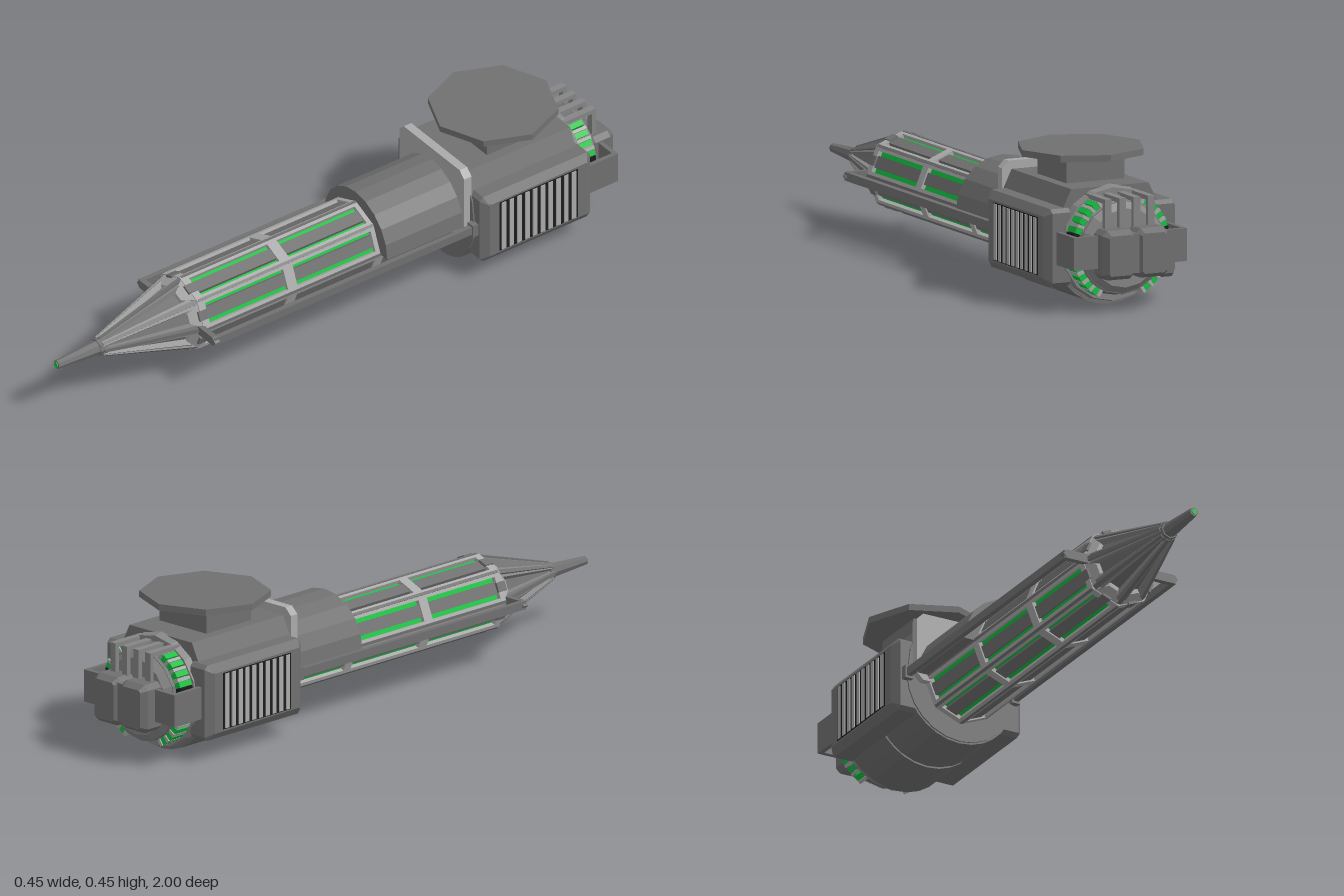
import * as THREE from 'three';

const mat = (color) => new THREE.MeshStandardMaterial({ color, flatShading: true });
const DARK = mat(0x707070), MID = mat(0x858585), LIGHT = mat(0xaaaaaa), BLACK = mat(0x1c1c1c), GREEN = mat(0x12c040);
const AXIS = 0.187; // height of the barrel axis

function add(parent, name, geo, material, x = 0, y = 0, z = 0) {
  const m = new THREE.Mesh(geo, material);
  m.name = name;
  m.position.set(x, y, z);
  parent.add(m);
  return m;
}
function group(parent, name) {
  const g = new THREE.Group();
  g.name = name;
  parent.add(g);
  return g;
}
const box = (w, h, d) => new THREE.BoxGeometry(w, h, d);
const poly = (pts) => new THREE.Shape(pts.map(([x, y]) => new THREE.Vector2(x, y)));
const arc = (r, a0, a1, n) => Array.from({ length: n + 1 }, (_, i) => {
  const a = THREE.MathUtils.degToRad(a0 + ((a1 - a0) * i) / n);
  return [r * Math.cos(a), r * Math.sin(a)];
});
// Rectangle with cut corners
const cutRect = (x0, x1, y0, y1, c) => poly([[x0 + c, y0], [x1 - c, y0], [x1, y0 + c], [x1, y1 - c],
  [x1 - c, y1], [x0 + c, y1], [x0, y1 - c], [x0, y0 + c]]);
// Prism along z
function prism(shape, z0, z1) {
  return new THREE.ExtrudeGeometry(shape, { depth: z1 - z0, bevelEnabled: false }).translate(0, 0, z0);
}
// Tapered cylinder along z, r0 at z0 and r1 at z1
function taper(r0, z0, r1, z1, sides) {
  return new THREE.CylinderGeometry(r1, r0, z1 - z0, sides).rotateX(Math.PI / 2).translate(0, 0, (z0 + z1) / 2);
}
// Rib along z whose radial height and width change from one end to the other
function rib(z0, z1, [in0, out0, w0], [in1, out1, w1]) {
  const g = box(1, 1, 1), p = g.attributes.position;
  for (let i = 0; i < p.count; i++) {
    const t = p.getZ(i) + 0.5, top = p.getY(i) > 0;
    const y = top ? out0 + (out1 - out0) * t : in0 + (in1 - in0) * t;
    p.setXYZ(i, p.getX(i) * (w0 + (w1 - w0) * t), y, z0 + (z1 - z0) * t);
  }
  return g;
}

function buildBarrel(gun) {
  const barrel = group(gun, 'barrel');
  add(barrel, 'glowingCore', taper(0.107, -0.42, 0.107, 0.53, 8), GREEN);
  add(barrel, 'barrelFrontCap', taper(0.118, 0.522, 0.118, 0.54, 8), DARK);
  const windows = [[0.225, 0.515], [-0.1, 0.19], [-0.4, -0.13]];
  const plate = poly([[-0.047, -0.42], [0.047, -0.42], [0.047, 0.54], [-0.047, 0.54]]);
  for (const [a, b] of windows) {
    plate.holes.push(new THREE.Path([[-0.033, a], [-0.033, b], [0.033, b], [0.033, a]].map((p) => new THREE.Vector2(...p))));
  }
  const plateGeo = new THREE.ExtrudeGeometry(plate, { depth: 0.013, bevelEnabled: false })
    .rotateX(Math.PI / 2).translate(0, 0.1155, 0);
  for (let i = 0; i < 8; i++) {
    // Eight window frames, each with a dark bar over the glow
    const side = group(barrel, 'barrelSide');
    side.rotation.z = (i + 0.5) * Math.PI / 4;
    add(side, 'windowFrame', plateGeo, LIGHT);
    for (const [a, b] of windows) add(side, 'windowBar', box(0.038, 0.014, b - a), DARK, 0, 0.104, (a + b) / 2);
    add(side, 'frontClip', box(0.03, 0.008, 0.035), DARK, 0, 0.115, 0.53);
    add(side, 'shoulder', rib(0.535, 0.572, [0.09, 0.1155, 0.09], [0.08, 0.096, 0.03]), LIGHT);
    // Corner rails
    const corner = group(barrel, 'barrelCorner');
    corner.rotation.z = i * Math.PI / 4;
    add(corner, 'cornerRail', box(0.009, 0.01, 0.95), DARK, 0, 0.12, 0.06);
  }
}

function buildNose(gun) {
  const nose = group(gun, 'nose');
  add(nose, 'noseCone', taper(0.098, 0.54, 0.022, 0.84, 8), DARK);
  add(nose, 'noseCollar', taper(0.032, 0.825, 0.027, 0.85, 8), DARK);
  add(nose, 'noseTip', taper(0.024, 0.84, 0.014, 0.997, 8), DARK);
  add(nose, 'muzzleGlow', taper(0.009, 0.99, 0.009, 1.0, 8), GREEN);
  for (let i = 0; i < 8; i++) {
    const r = group(nose, 'noseRib');
    r.rotation.z = i * Math.PI / 4;
    add(r, 'ribBase', rib(0.54, 0.84, [0.07, 0.112, 0.034], [0.012, 0.028, 0.015]), MID);
    add(r, 'ribCrest', rib(0.54, 0.84, [0.08, 0.119, 0.015], [0.015, 0.031, 0.008]), DARK);
  }
}

function buildBody(gun) {
  const body = group(gun, 'body');
  add(body, 'upperSleeve', prism(poly([...arc(0.158, 0, 180, 10), ...arc(0.125, 180, 0, 4)]), -0.42, -0.115), DARK);
  add(body, 'flange', prism(cutRect(-0.162, 0.162, -0.02, 0.198, 0.022), -0.425, -0.397), LIGHT);
  add(body, 'mainHousing', prism(poly([...arc(0.181, 180, 360, 12), [0.17, 0.09], [0.13, 0.172], [-0.13, 0.172], [-0.17, 0.09]]), -0.815, -0.42), DARK);
  // Raised bands under the housing
  for (const [a, b] of [[-0.605, -0.425], [-0.81, -0.62]]) {
    add(body, 'bellyBand', prism(poly([...arc(0.186, 195, 345, 12), ...arc(0.17, 345, 195, 12)]), a, b), DARK);
  }
  add(body, 'mountNeck', box(0.195, 0.1, 0.19), DARK, 0, 0.205, -0.625);
  add(body, 'mountPad', new THREE.CylinderGeometry(0.197, 0.197, 0.02, 8), DARK, 0, 0.256, -0.625);

  // Louvred side pods
  for (const s of [1, -1]) {
    const pod = group(body, 'sidePod');
    pod.position.set(0, 0, -0.63);
    if (s < 0) pod.rotation.y = Math.PI;
    const shell = new THREE.ExtrudeGeometry(cutRect(-0.205, 0.205, -0.117, 0.118, 0.012),
      { depth: 0.06, bevelSize: 0.025, bevelOffset: -0.025, bevelThickness: 0.018, bevelSegments: 1 })
      .rotateY(Math.PI / 2).translate(0.143, 0, 0);
    add(pod, 'podShell', shell, DARK);
    add(pod, 'louvreBack', box(0.01, 0.176, 0.29), BLACK, 0.2172, 0, 0);
    for (let i = 0; i < 10; i++) add(pod, 'louvre', box(0.008, 0.17, 0.016), LIGHT, 0.221, 0, -0.13 + i * 0.0289);
  }
}

function buildRear(gun) {
  const rear = group(gun, 'rear');
  add(rear, 'rearHousing', taper(0.142, -0.9, 0.16, -0.81, 16), DARK);
  add(rear, 'rearRim', taper(0.172, -0.84, 0.178, -0.81, 16), MID);
  add(rear, 'rearPlate', taper(0.12, -0.92, 0.145, -0.895, 16), MID);
  for (const s of [1, -1]) {
    // Glowing vents above and below the middle, with a black slot between
    for (const v of [1, -1]) {
      for (let i = 0; i < 4; i++) {
        const vent = group(rear, 'vent');
        vent.rotation.z = (s > 0 ? 0 : Math.PI) + v * (0.38 + i * 0.2);
        add(vent, 'ventGlow', box(0.022, 0.017, 0.055), GREEN, 0.153, 0, -0.863);
        add(vent, 'ventFin', box(0.022, 0.01, 0.06), LIGHT, 0.153, v * 0.015, -0.863);
      }
    }
    add(rear, 'sideSlot', box(0.02, 0.1, 0.05), BLACK, s * 0.148, 0, -0.865);
    // Flat strap wrapping from the pod to the rear block
    add(rear, 'strapSide', box(0.014, 0.1, 0.14), DARK, s * 0.182, 0, -0.88);
    add(rear, 'strapEnd', box(0.1, 0.1, 0.014), DARK, s * 0.139, 0, -0.943);
    // Half of the rear block
    const half = new THREE.ExtrudeGeometry(cutRect(-0.053, 0.053, -0.082, 0.068, 0.015),
      { depth: 0.055, bevelSize: 0.014, bevelOffset: -0.014, bevelThickness: 0.02, bevelSegments: 1 });
    add(rear, 'rearBlock', half, DARK, s * 0.056, 0, -0.98);
  }
  add(rear, 'rearBlockCore', box(0.18, 0.12, 0.09), DARK, 0, -0.005, -0.945);
  // Hooked pipes over the back
  for (let i = 0; i < 4; i++) {
    const x = -0.0725 + i * 0.0483;
    add(rear, 'hookTop', box(0.022, 0.014, 0.13), MID, x, 0.15, -0.88);
    add(rear, 'hookDrop', box(0.022, 0.1, 0.014), MID, x, 0.107, -0.938);
  }
}

function buildSideRods(gun) {
  for (const s of [1, -1]) {
    const rod = group(gun, 'sideRod');
    add(rod, 'rodBar', box(0.016, 0.026, 0.97), DARK, s * 0.183, 0, 0.065);
    const tip = poly([[s * 0.105, -0.014], [s * 0.183, -0.014], [s * 0.197, 0], [s * 0.183, 0.014], [s * 0.105, 0.014]]);
    add(rod, 'rodCrossbar', prism(tip, 0.535, 0.553), DARK);
    add(rod, 'rodSocket', box(0.028, 0.04, 0.03), DARK, s * 0.183, 0, -0.42);
  }
}

export function createModel() {
  const model = new THREE.Group();
  model.name = 'cannon';
  const gun = group(model, 'gun');
  gun.position.y = AXIS;
  buildBarrel(gun);
  buildNose(gun);
  buildBody(gun);
  buildRear(gun);
  buildSideRods(gun);
  return model;
}
